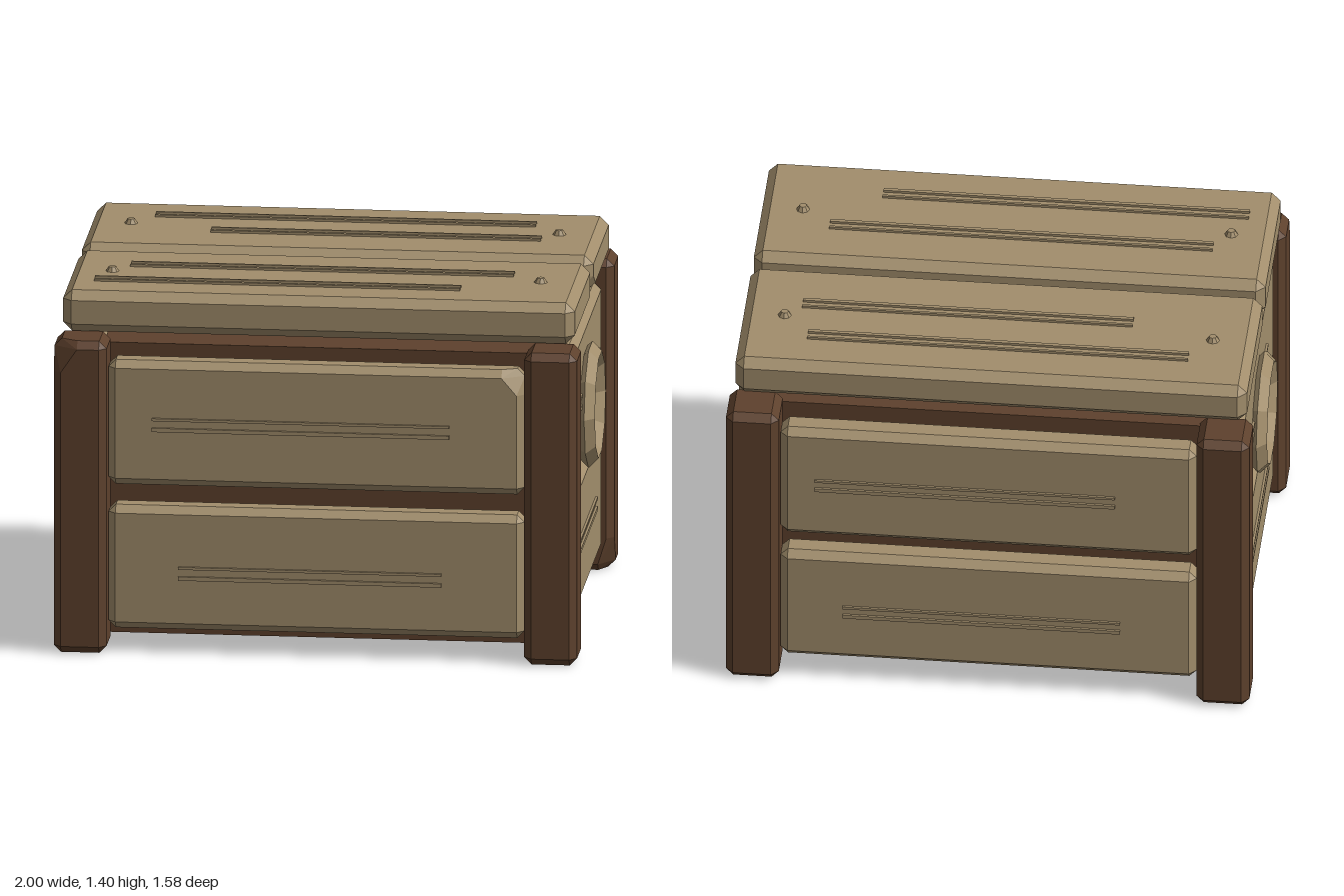
import * as THREE from 'three';
import { ConvexGeometry } from 'three/addons/geometries/ConvexGeometry.js';

export function createModel() {
  const group = new THREE.Group();
  const plankWood = new THREE.MeshStandardMaterial({ color: 0xa28e6c });
  plankWood.name = 'plankWood';
  plankWood.flatShading = true;
  const frameWood = new THREE.MeshStandardMaterial({ color: 0x5e412d });
  frameWood.name = 'frameWood';
  frameWood.flatShading = true;
  frameWood.side = THREE.DoubleSide;

  function add(name, geometry, material, x = 0, y = 0, z = 0) {
    const mesh = new THREE.Mesh(geometry, material);
    mesh.name = name;
    mesh.position.set(x, y, z);
    group.add(mesh);
    return mesh;
  }

  // Chamfered block between two corners; chips maps corner signs such as '1,1,-1' to cut lengths
  function block(name, material, min, max, bevel, chips = {}) {
    const half = min.map((v, i) => (max[i] - v) / 2);
    const mid = min.map((v, i) => (max[i] + v) / 2);
    const points = [];
    for (const sx of [-1, 1]) for (const sy of [-1, 1]) for (const sz of [-1, 1]) {
      const sign = [sx, sy, sz];
      const cut = chips[sign.join()] || [bevel, bevel, bevel];
      for (let along = 0; along < 3; along++) for (let face = 0; face < 3; face++) {
        if (face === along) continue;
        const p = half.map((h, i) => sign[i] * (h - (i === along ? cut[i] : i === face ? 0 : bevel)));
        points.push(new THREE.Vector3(...p));
      }
    }
    return add(name, new ConvexGeometry(points), material, ...mid);
  }

  // Pair of thin raised grain lines: [from, to] along the plank, u across it, w the surface height
  function grain(face, from, to, u, w) {
    for (const [offset, width] of [[0, 0.01], [0.04, 0.015]]) {
      const len = to - from, c = (from + to) / 2, h = 0.018;
      if (face === 'top') add('lidGrain', new THREE.BoxGeometry(len, h, width), plankWood, c, w, u + offset);
      else if (face === 'side') add('sideGrain', new THREE.BoxGeometry(h, width, len), plankWood, w, u - offset, c);
      else add('wallGrain', new THREE.BoxGeometry(len, width, h), plankWood, c, u - offset, w);
    }
  }

  // Inner box, closed on top and open underneath
  const body = new THREE.BoxGeometry(1.63, 1.13, 1.24);
  const index = Array.from(body.index.array);
  index.splice(18, 6);
  body.setIndex(index);
  body.clearGroups();
  add('innerBox', body, frameWood, 0, 0.61, 0);

  // Corner posts, two of them chipped
  for (const sx of [-1, 1]) for (const sz of [-1, 1]) {
    const chips = {};
    if (sx < 0 && sz > 0) chips['-1,1,1'] = [0.09, 0.12, 0.06];
    if (sx > 0 && sz < 0) chips['1,-1,1'] = [0.06, 0.13, 0.08];
    const cx = sx * 0.89, cz = sz * 0.688;
    block('cornerPost', frameWood, [cx - 0.1, 0, cz - 0.1], [cx + 0.1, 1.215, cz + 0.1], 0.028, chips);
  }

  // Wall planks in two rows on all four sides
  const rows = [[0.09, 0.57], [0.65, 1.135]];
  rows.forEach(([y0, y1], row) => {
    const chip = row ? { '1,1,1': [0.085, 0.095, 0.05] } : {};
    block('frontPlank', plankWood, [-0.787, y0, 0.63], [0.787, y1, 0.745], 0.028, chip);
    block('backPlank', plankWood, [-0.787, y0, -0.75], [0.787, y1, -0.63], 0.028);
    for (const s of [-1, 1]) {
      block('sidePlank', plankWood, [s > 0 ? 0.832 : -0.945, y0, -0.595], [s > 0 ? 0.945 : -0.832, y1, 0.6], 0.028);
    }
  });
  grain('front', -0.62, 0.505, 0.912, 0.745);
  grain('front', -0.52, 0.475, 0.335, 0.745);
  grain('back', -0.48, 0.655, 0.912, -0.75);
  grain('back', -0.5, 0.55, 0.335, -0.75);
  for (const s of [-1, 1]) {
    grain('side', -0.47, 0.31, 0.902, s * 0.945);
    grain('side', -0.365, 0.34, 0.35, s * 0.945);
  }

  // Lid planks with grain and nails
  block('frontLidPlank', plankWood, [-0.968, 1.218, 0.03], [0.968, 1.378, 0.662], 0.034);
  block('backLidPlank', plankWood, [-0.968, 1.218, -0.66], [0.968, 1.378, -0.025], 0.034,
    { '1,-1,1': [0.05, 0.08, 0.11] });
  grain('top', -0.73, 0.71, -0.487, 1.378);
  grain('top', -0.5, 0.75, -0.287, 1.378);
  grain('top', -0.75, 0.7, 0.232, 1.378);
  grain('top', -0.865, 0.52, 0.452, 1.378);
  for (const x of [-0.81, 0.81]) for (const z of [-0.345, 0.345]) {
    add('nail', new THREE.CylinderGeometry(0.014, 0.028, 0.022, 8), plankWood, x, 1.385, z);
  }

  // Ten-sided ring handles
  for (const s of [-1, 1]) {
    const ring = add('ringHandle', new THREE.TorusGeometry(0.203, 0.037, 4, 10), plankWood, s * 0.963, 0.813, 0);
    ring.rotation.y = Math.PI / 2;
  }
  return group;
}
